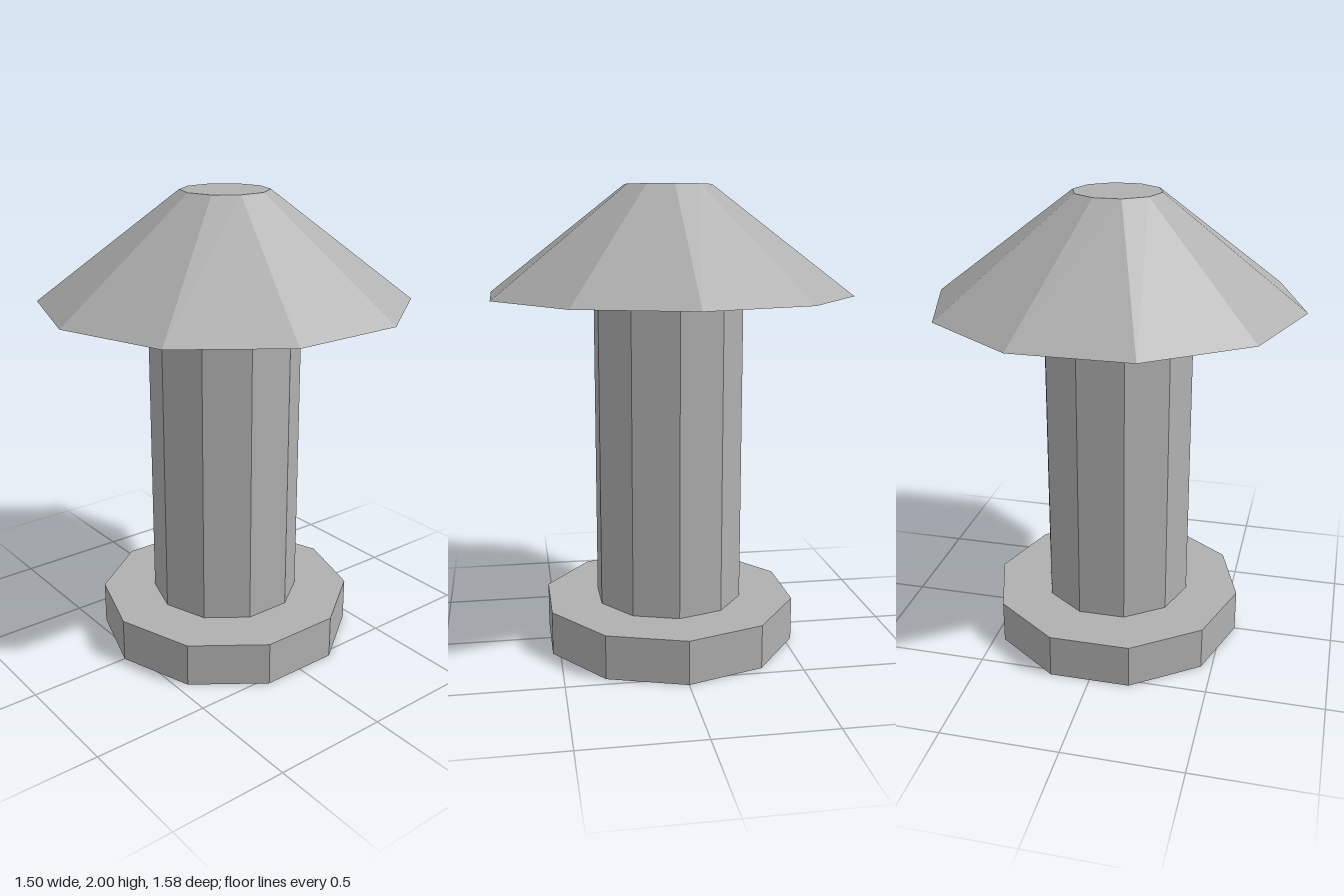
import * as THREE from 'three';

const SIDES = 10;

export function createModel() {
  const model = new THREE.Group();
  const grey = new THREE.MeshStandardMaterial({ color: 0xb0b0b1, flatShading: true });
  grey.name = 'grey';

  // Ten-sided section between two heights, with a corner facing the front
  function addSection(name, topRadius, bottomRadius, bottom, top) {
    const geometry = new THREE.CylinderGeometry(topRadius, bottomRadius, top - bottom, SIDES);
    const mesh = new THREE.Mesh(geometry, grey);
    mesh.name = name;
    mesh.position.y = (bottom + top) / 2;
    model.add(mesh);
  }

  addSection('base', 0.56, 0.56, 0, 0.19);
  addSection('post', 0.326, 0.326, 0.19, 1.54);
  addSection('cap', 0.187, 0.79, 1.54, 2);

  return model;
}
